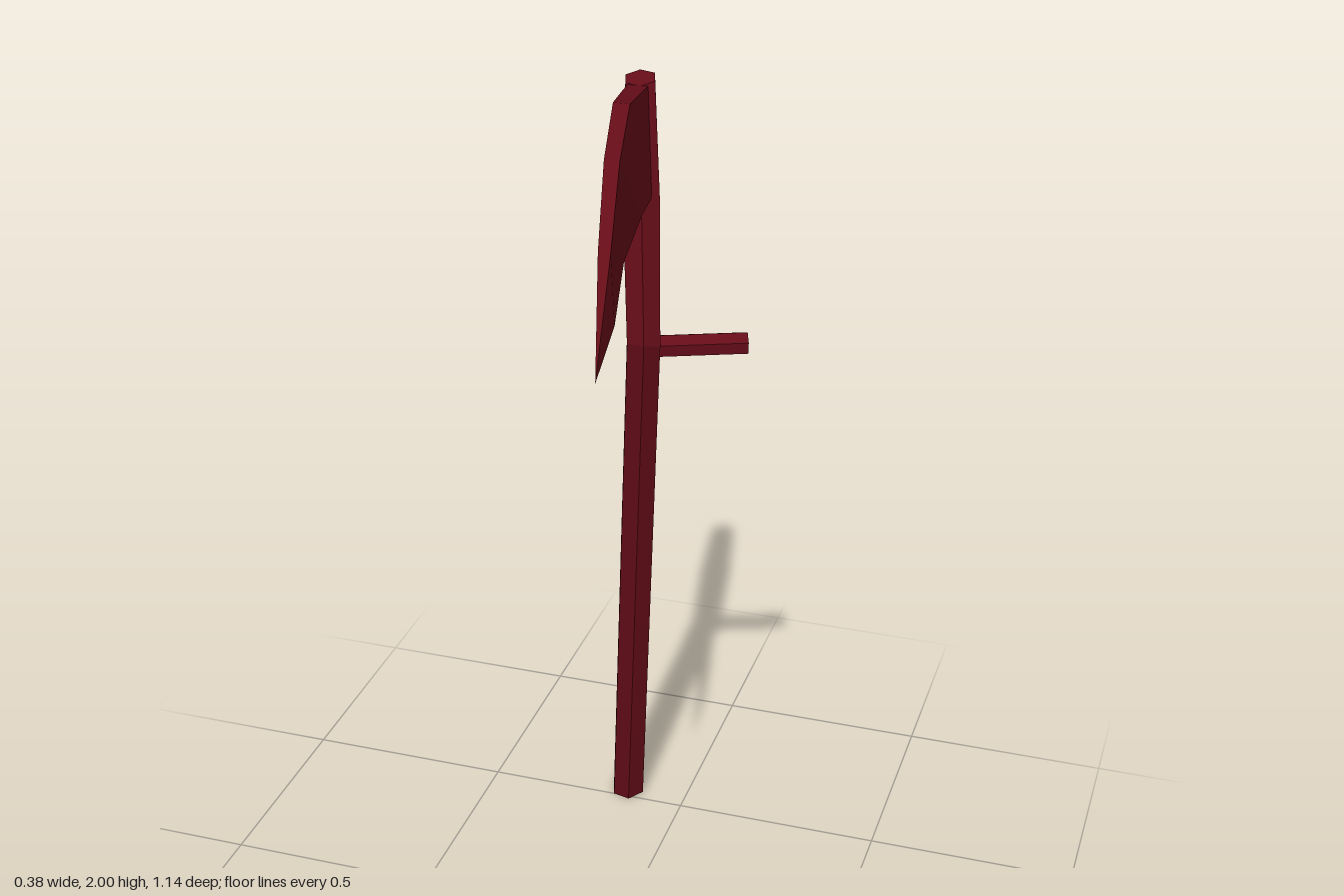
import * as THREE from 'three';

const material = new THREE.MeshStandardMaterial({ color: 0x660d18, flatShading: true });

// Skins a row of equal-length rings (counter-clockwise seen from the far end) and caps both ends.
function loft(name, rings) {
  const pos = [];
  const tri = (...pts) => pts.forEach((p) => pos.push(...p));
  const n = rings[0].length;
  for (let i = 0; i < rings.length - 1; i++) {
    for (let j = 0; j < n; j++) {
      const k = (j + 1) % n;
      const a = rings[i][j], b = rings[i][k], c = rings[i + 1][k], d = rings[i + 1][j];
      tri(a, b, c);
      tri(a, c, d);
    }
  }
  const first = rings[0], last = rings[rings.length - 1];
  for (let j = 1; j < n - 1; j++) {
    tri(first[0], first[j + 1], first[j]);
    tri(last[0], last[j], last[j + 1]);
  }
  const geometry = new THREE.BufferGeometry();
  geometry.setAttribute('position', new THREE.Float32BufferAttribute(pos, 3));
  geometry.computeVertexNormals();
  const mesh = new THREE.Mesh(geometry, material);
  mesh.name = name;
  return mesh;
}

// Hexagonal ring around a shaft point; tilt raises or lowers it along z.
function hexRing([x, y, z, r, tilt]) {
  return Array.from({ length: 6 }, (_, i) => {
    const a = THREE.MathUtils.degToRad(48 + i * 60);
    const dz = -Math.sin(a) * r;
    return [x + Math.cos(a) * r, y + dz * tilt, z + dz];
  });
}

export function createModel() {
  const group = new THREE.Group();
  group.name = 'scythe';

  // Bent shaft: x, y, z, radius, tilt
  group.add(loft('shaft', [
    [-0.15, 0.01, -0.53, 0.043, -0.2],
    [-0.027, 1.395, -0.245, 0.042, 0.3],
    [-0.048, 1.715, -0.29, 0.046, 0.3],
    [-0.065, 1.963, -0.335, 0.036, -0.2],
  ].map(hexRing)));

  // Curved blade: z of top, y of top, x range of top; z of bottom, y of bottom, x range of bottom
  group.add(loft('blade', [
    [-0.31, 1.955, -0.085, -0.04, -0.26, 1.728, -0.065, -0.015],
    [-0.05, 2.0, -0.033, 0.003, -0.07, 1.76, -0.018, 0.022],
    [0.2, 1.97, 0.03, 0.062, 0.2, 1.765, 0.038, 0.07],
    [0.41, 1.868, 0.087, 0.112, 0.4, 1.72, 0.095, 0.116],
    [0.573, 1.68, 0.135, 0.135, 0.573, 1.68, 0.135, 0.135],
  ].map(([tz, ty, t0, t1, bz, by, b0, b1]) => [
    [b0, by, bz], [b1, by, bz], [t1, ty, tz], [t0, ty, tz],
  ])));

  // Side grip, square to the plane of the shaft
  const start = new THREE.Vector3(-0.025, 1.385, -0.255);
  const end = new THREE.Vector3(0.182, 1.385, -0.342);
  const span = end.clone().sub(start);
  const grip = new THREE.Mesh(new THREE.CylinderGeometry(0.027, 0.027, span.length(), 6), material);
  grip.name = 'grip';
  grip.position.copy(start).add(end).multiplyScalar(0.5);
  grip.quaternion.setFromUnitVectors(new THREE.Vector3(0, 1, 0), span.normalize());
  group.add(grip);

  return group;
}
